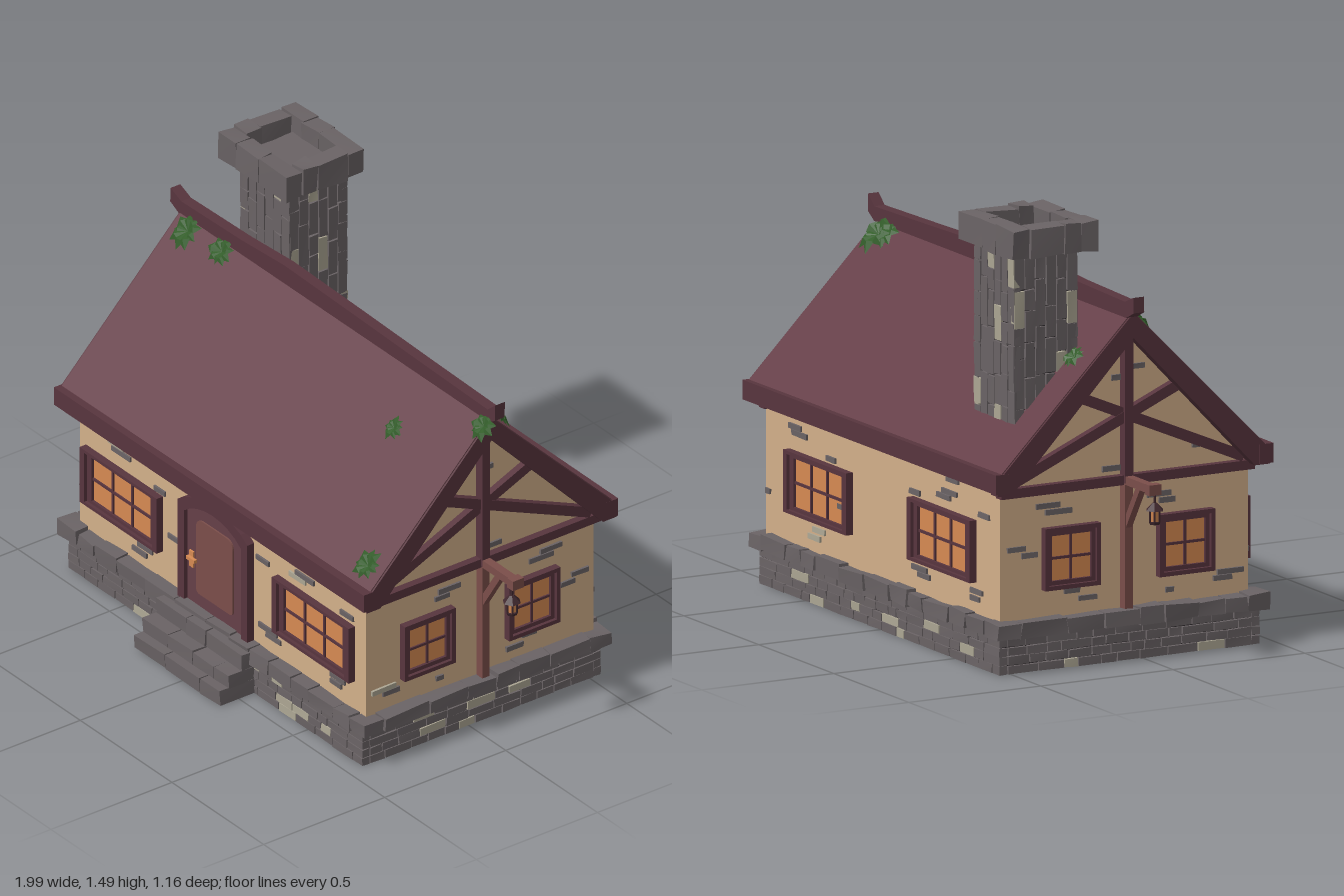
import * as THREE from 'three';
import { mergeGeometries } from 'three/addons/utils/BufferGeometryUtils.js';

const mat = (name, color, side = THREE.FrontSide) => {
  const m = new THREE.MeshStandardMaterial({ color, side });
  m.name = name;
  return m;
};

export function createModel() {
  const M = {
    plaster: mat('plaster', 0xd3b08a), roof: mat('roof', 0x653f48), trim: mat('darkTimber', 0x58353e),
    wood: mat('lightTimber', 0x7b4e4a), glass: mat('warmGlass', 0xd68a52), stone: mat('stone', 0x6a6365),
    mortar: mat('mortar', 0x353032), pale: mat('paleStone', 0xaca693),
    leaf: mat('leaf', 0x35602c, THREE.DoubleSide), iron: mat('lanternIron', 0x40282e),
  };
  const house = new THREE.Group();
  house.name = 'cottage';
  const ZC = -0.06; // ridge line

  let seed = 7;
  const rnd = (a = 0, b = 1) => {
    seed = (seed * 16807) % 2147483647;
    return a + (b - a) * (seed / 2147483647);
  };
  const add = (name, geo, m, parent = house) => {
    const mesh = new THREE.Mesh(geo, m);
    mesh.name = name;
    parent.add(mesh);
    return mesh;
  };
  const box = (name, m, w, h, d, x, y, z, parent) => {
    const mesh = add(name, new THREE.BoxGeometry(w, h, d), m, parent);
    mesh.position.set(x, y, z);
    return mesh;
  };
  const poly = (pts) => new THREE.Shape(pts.map(([a, b]) => new THREE.Vector2(a, b)));
  // extrude a (z, y) outline along x, centred on x
  const extrudeX = (pts, width, x = 0) =>
    new THREE.ExtrudeGeometry(poly(pts), { depth: width, bevelEnabled: false })
      .translate(0, 0, -width / 2).rotateY(-Math.PI / 2).translate(x, 0, 0);
  // straight timber between two (z, y) points
  const beam = (name, m, x, a, b, thick, depth, parent) => {
    const dz = b[0] - a[0], dy = b[1] - a[1];
    const mesh = box(name, m, depth, thick, Math.hypot(dz, dy), x, (a[1] + b[1]) / 2, (a[0] + b[0]) / 2, parent);
    mesh.rotation.x = -Math.atan2(dy, dz);
  };

  // ---- stonework: boxes with slightly shifted corners, merged per colour
  let piles = { stone: [], pale: [] };
  const stone = (x0, x1, y0, y1, z0, z1, jit = 0.003, pale = 0) => {
    const g = new THREE.BoxGeometry(x1 - x0, y1 - y0, z1 - z0);
    const off = Array.from({ length: 24 }, () => rnd(-jit, jit)), p = g.attributes.position;
    for (let i = 0; i < p.count; i++) {
      const k = 3 * ((p.getX(i) > 0) + 2 * (p.getY(i) > 0) + 4 * (p.getZ(i) > 0));
      p.setXYZ(i, p.getX(i) + off[k], p.getY(i) + off[k + 1], p.getZ(i) + off[k + 2]);
    }
    g.translate((x0 + x1) / 2, Math.max((y0 + y1) / 2, (y1 - y0) / 2 + jit), (z0 + z1) / 2);
    g.computeVertexNormals();
    piles[rnd() < pale ? 'pale' : 'stone'].push(g);
  };
  const flush = (name) => {
    for (const k in piles) if (piles[k].length) add(name + (k === 'pale' ? 'Pale' : ''), mergeGeometries(piles[k]), M[k]);
    piles = { stone: [], pale: [] };
  };
  const pieces = (a, b, min, max, cb) => {
    for (let t = a; t < b - 0.005;) {
      let e = t + rnd(min, max);
      if (b - e < min * 0.7) e = b;
      cb(t + 0.002, e - 0.002);
      t = e;
    }
  };
  // ring of stones around a rectangle
  const ring = (x0, x1, z0, z1, y0, y1, d, min, max, jit, pale) => {
    const top = () => y1 + rnd(-jit, jit);
    for (const [a, b] of [[z0, z0 + d], [z1 - d, z1]])
      pieces(x0, x1, min, max, (s, e) => stone(s, e, y0, top(), a, b, jit, pale));
    for (const [a, b] of [[x0, x0 + d], [x1 - d, x1]])
      pieces(z0 + d, z1 - d, min, max, (s, e) => stone(a, b, y0, top(), s, e, jit, pale));
  };

  // foundation
  box('floorUnderside', M.plaster, 1.58, 0.008, 0.96, 0, 0.006, -0.053);
  box('foundationCore', M.mortar, 1.585, 0.15, 0.965, 0, 0.085, -0.053);
  for (let r = 0; r < 4; r++)
    ring(-0.805, 0.8, -0.545, 0.44, r * 0.031 + 0.002, r * 0.031 + 0.03, 0.03, 0.05, 0.12, 0.0015, 0.1);
  flush('foundationBricks');
  ring(-0.84, 0.832, -0.568, 0.46, 0.125, 0.176, 0.085, 0.09, 0.18, 0.005, 0);
  flush('foundationCap');
  [[0.58, 0, 0.053], [0.545, 0.054, 0.104], [0.49, 0.105, 0.165]].forEach(([z, y0, y1]) =>
    pieces(-0.26, 0.21, 0.1, 0.2, (s, e) => stone(s, e, y0, y1, 0.42, z, 0.003)));
  flush('frontSteps');

  // chimney: upright bricks around a core, heavy hollow crown
  box('chimneyCore', M.mortar, 0.25, 0.71, 0.22, -0.565, 1.055, -0.31);
  const upright = (a0, a1, fn) => {
    const n = 6, w = (a1 - a0) / n;
    for (let i = 0; i < n; i++)
      pieces(0.7, 1.39, 0.07, 0.17, (s, e) => fn(a0 + i * w + 0.002, a0 + (i + 1) * w - 0.002, s, e));
  };
  for (const z of [-0.43, -0.215]) upright(-0.7, -0.43, (a, b, s, e) => stone(a, b, s, e, z, z + 0.025, 0.002, 0.1));
  for (const x of [-0.7, -0.455]) upright(-0.43, -0.19, (a, b, s, e) => stone(x, x + 0.025, s, e, a, b, 0.002, 0.1));
  flush('chimneyBricks');
  box('chimneyThroat', M.stone, 0.26, 0.03, 0.23, -0.565, 1.405, -0.31);
  ring(-0.76, -0.388, -0.467, -0.145, 1.385, 1.483, 0.065, 0.08, 0.13, 0.005, 0);
  flush('chimneyCrown');

  // ---- walls and roof
  add('walls', extrudeX([[0.41, 0.15], [0.41, 0.63], [ZC, 1.1], [-0.53, 0.63], [-0.53, 0.15]], 1.56), M.plaster);
  add('roof', extrudeX([[0.45, 0.675], [ZC, 1.185], [-0.57, 0.675], [-0.55, 0.63], [ZC, 1.115], [0.43, 0.63]], 1.675), M.roof);
  for (const z of [0.443, -0.556]) {
    const eave = box('eaveBeam', M.trim, 1.69, 0.066, 0.052, 0, 0.653, z);
    eave.rotation.z = z > 0 ? 0.003 : -0.003;
  }
  const ridge = poly([[-0.89, 1.19], [-0.84, 1.165], [0.84, 1.165], [0.88, 1.19], [0.882, 1.25], [0.84, 1.215],
    [0.5, 1.222], [0.1, 1.232], [-0.27, 1.24], [-0.5, 1.226], [-0.83, 1.218], [-0.888, 1.242]]);
  add('ridgeCap', new THREE.ExtrudeGeometry(ridge, { depth: 0.04, bevelEnabled: false }).translate(0, 0, ZC - 0.026), M.trim);

  // ---- windows
  const makeWindow = (w, h, gw, gh, cols) => {
    const g = new THREE.Group();
    g.name = 'window';
    const frame = (ow, oh, iw, ih, d) => {
      for (const s of [-1, 1]) {
        box('windowJamb', M.trim, (ow - iw) / 2, oh, d, s * (ow + iw) / 4, 0, d / 2, g);
        box('windowRail', M.trim, iw, (oh - ih) / 2, d, 0, s * (oh + ih) / 4, d / 2, g);
      }
    };
    const mw = (w + gw) / 2, mh = (h + gh) / 2;
    frame(w, h, mw, mh, 0.028);
    frame(mw, mh, gw, gh, 0.016);
    box('windowGlass', M.glass, gw, gh, 0.006, 0, 0, 0.003, g);
    for (let i = 1; i < cols; i++) box('muntin', M.trim, 0.009, gh, 0.012, -gw / 2 + (i * gw) / cols, 0, 0.006, g);
    box('muntin', M.trim, gw, 0.009, 0.012, 0, 0, 0.006, g);
    house.add(g);
    return g;
  };
  for (const x of [-0.537, 0.51]) makeWindow(0.42, 0.21, 0.32, 0.165, 3).position.set(x, 0.385, 0.409);
  for (const x of [-0.415, 0.41]) {
    const w = makeWindow(0.42, 0.21, 0.32, 0.165, 3);
    w.position.set(x, 0.385, -0.529);
    w.rotation.y = Math.PI;
  }

  // ---- arched door
  const arch = (i, y0) => {
    const s = new THREE.Shape(), l = -0.21 + i, r = 0.17 - i, y = 0.548 - i * 0.8;
    s.moveTo(l, y0).lineTo(r, y0).lineTo(r, y);
    s.bezierCurveTo(r - 0.08, 0.625 - i, l + 0.08, 0.625 - i, l, y);
    return s;
  };
  const slab = (name, shape, d, m) =>
    add(name, new THREE.ExtrudeGeometry(shape, { depth: d, bevelEnabled: false, curveSegments: 8 }).translate(0, 0, 0.405), m);
  const doorFrame = arch(0, 0.165);
  doorFrame.holes.push(arch(0.035, 0.168));
  slab('doorFrame', doorFrame, 0.034, M.trim);
  slab('door', arch(0.033, 0.168), 0.02, M.roof);
  const panel = new THREE.Shape();
  panel.moveTo(-0.1, 0.23).lineTo(0.06, 0.23).quadraticCurveTo(0.08, 0.23, 0.08, 0.25).lineTo(0.08, 0.48)
    .quadraticCurveTo(0.08, 0.515, 0.04, 0.515).lineTo(-0.08, 0.515).quadraticCurveTo(-0.12, 0.515, -0.12, 0.48)
    .lineTo(-0.12, 0.25).quadraticCurveTo(-0.12, 0.23, -0.1, 0.23);
  slab('doorPanel', panel, 0.026, M.wood);
  box('doorPlate', M.glass, 0.022, 0.06, 0.008, -0.146, 0.345, 0.428);
  box('doorHandle', M.glass, 0.045, 0.012, 0.012, -0.133, 0.353, 0.44);

  // ---- gable ends, mirrored
  for (const s of [-1, 1]) {
    const x = s * 0.79;
    add('bargeBoards', extrudeX([[0.455, 0.665], [ZC, 1.18], [-0.575, 0.665], [-0.575, 0.615], [-0.52, 0.615],
      [ZC, 1.095], [0.4, 0.615], [0.455, 0.615]], 0.045, s * 0.822), M.trim);
    beam('tieBeam', M.trim, x, [0.42, 0.61], [-0.54, 0.61], 0.032, 0.035);
    beam('gablePost', M.trim, x, [ZC, 0.6], [ZC, 1.13], 0.032, 0.05);
    beam('wallPost', M.wood, x, [ZC, 0.17], [ZC, 0.6], 0.03, 0.045);
    beam('brace', M.trim, x, [0.38, 0.64], [-0.25, 0.91], 0.036, 0.03);
    beam('brace', M.trim, x, [-0.5, 0.64], [0.13, 0.91], 0.036, 0.034);
    for (const z of [0.165, -0.267]) {
      const w = makeWindow(0.21, 0.21, 0.15, 0.152, 2);
      w.position.set(s * 0.779, 0.372, z);
      w.rotation.y = (s * Math.PI) / 2;
    }
    // lantern bracket
    box('bracketArm', M.wood, 0.19, 0.028, 0.03, s * 0.885, 0.61, ZC);
    box('bracketEnd', M.wood, 0.032, 0.036, 0.045, s * 0.974, 0.61, ZC);
    const strut = box('bracketStrut', M.wood, 0.19, 0.024, 0.024, s * 0.848, 0.528, ZC);
    strut.rotation.z = s * 1.0;
    const lamp = new THREE.Group();
    lamp.name = 'lantern';
    lamp.position.set(s * 0.967, 0.49, ZC + 0.01);
    house.add(lamp);
    const cyl = (name, m, rt, rb, h, y) => {
      const c = add(name, new THREE.CylinderGeometry(rt, rb, h, 6).toNonIndexed(), m, lamp);
      c.geometry.computeVertexNormals();
      c.position.y = y;
    };
    cyl('lanternBase', M.iron, 0.022, 0.018, 0.01, 0.005);
    cyl('lanternGlow', M.glass, 0.018, 0.014, 0.04, 0.03);
    cyl('lanternLid', M.iron, 0.008, 0.032, 0.025, 0.06);
    cyl('lanternHook', M.iron, 0.005, 0.005, 0.04, 0.09);
    for (let i = 0; i < 6; i++) {
      const a = (i * Math.PI) / 3;
      box('lanternBar', M.iron, 0.005, 0.042, 0.005, 0.018 * Math.sin(a), 0.03, 0.018 * Math.cos(a), lamp);
    }
  }

  // ---- bricks showing through the plaster: [along, y, length]
  const facing = [[-0.58, 0.57, 0.08], [-0.55, 0.55, 0.1], [-0.34, 0.507, 0.06], [-0.26, 0.36, 0.07], [-0.42, 0.25, 0.08],
    [-0.45, 0.222, 0.08], [0.22, 0.507, 0.07], [0.45, 0.55, 0.1], [0.41, 0.53, 0.09], [0.68, 0.515, 0.07], [0.25, 0.255, 0.1],
    [0.28, 0.235, 0.08], [0.63, 0.25, 0.08], [0.62, 0.225, 0.06], [0.47, 0.595, 0.08], [-0.76, 0.32, 0.03]];
  const gable = [[0.07, 0.545, 0.09], [0.1, 0.522, 0.06], [0.34, 0.255, 0.1], [0.31, 0.236, 0.07], [0.11, 0.217, 0.03],
    [-0.35, 0.55, 0.09], [-0.31, 0.527, 0.1], [-0.47, 0.415, 0.07], [-0.42, 0.39, 0.06], [-0.26, 0.255, 0.06], [-0.2, 0.225, 0.07],
    [0.23, 0.695, 0.07], [-0.11, 0.65, 0.07], [-0.01, 0.985, 0.05], [-0.08, 0.955, 0.06]];
  for (const [a, y, l] of facing) {
    stone(a - l / 2, a + l / 2, y - 0.009, y + 0.009, 0.405, 0.417, 0.001, 0.15);
    stone(-a - l / 2, -a + l / 2, y - 0.009, y + 0.009, -0.537, -0.525, 0.001, 0.15);
  }
  for (const [a, y, l] of gable) for (const s of [-1, 1])
    stone(s * 0.782 - 0.006, s * 0.782 + 0.006, y - 0.009, y + 0.009, a - l / 2, a + l / 2, 0.001, 0.15);
  flush('wallBricks');

  // ---- ivy tufts: folded leaves fanned around a centre
  const leafGeo = new THREE.BufferGeometry();
  leafGeo.setAttribute('position', new THREE.Float32BufferAttribute([
    0, 0, 0, -0.32, 0.2, 0.5, 0, 0.34, 0.55, 0, 0, 0, 0, 0.34, 0.55, 0.32, 0.2, 0.5,
    -0.32, 0.2, 0.5, 0, 0.05, 1, 0, 0.34, 0.55, 0, 0.34, 0.55, 0, 0.05, 1, 0.32, 0.2, 0.5], 3));
  leafGeo.computeVertexNormals();
  const tuft = (x, z, r) => {
    const g = new THREE.Group();
    g.name = 'ivyTuft';
    g.position.set(x, 1.186 - Math.abs(z - ZC), z);
    g.rotation.x = (z > ZC ? 1 : -1) * Math.PI / 4;
    for (let i = 0; i < 9; i++) {
      const leaf = add('ivyLeaf', leafGeo, M.leaf, g);
      leaf.rotation.set(0, i * 0.7 + rnd(-0.15, 0.15), 0);
      leaf.scale.setScalar(r * rnd(0.75, 1.1));
    }
    house.add(g);
  };
  [[-0.76, -0.02, 0.07], [-0.58, -0.025, 0.06], [0.51, 0.09, 0.045], [0.765, 0.39, 0.06], [0.84, -0.03, 0.06],
    [0.77, -0.11, 0.08], [0.72, -0.1, 0.06], [-0.34, -0.28, 0.055], [-0.36, -0.21, 0.05], [-0.73, -0.22, 0.05]]
    .forEach((t) => tuft(...t));

  return house;
}
